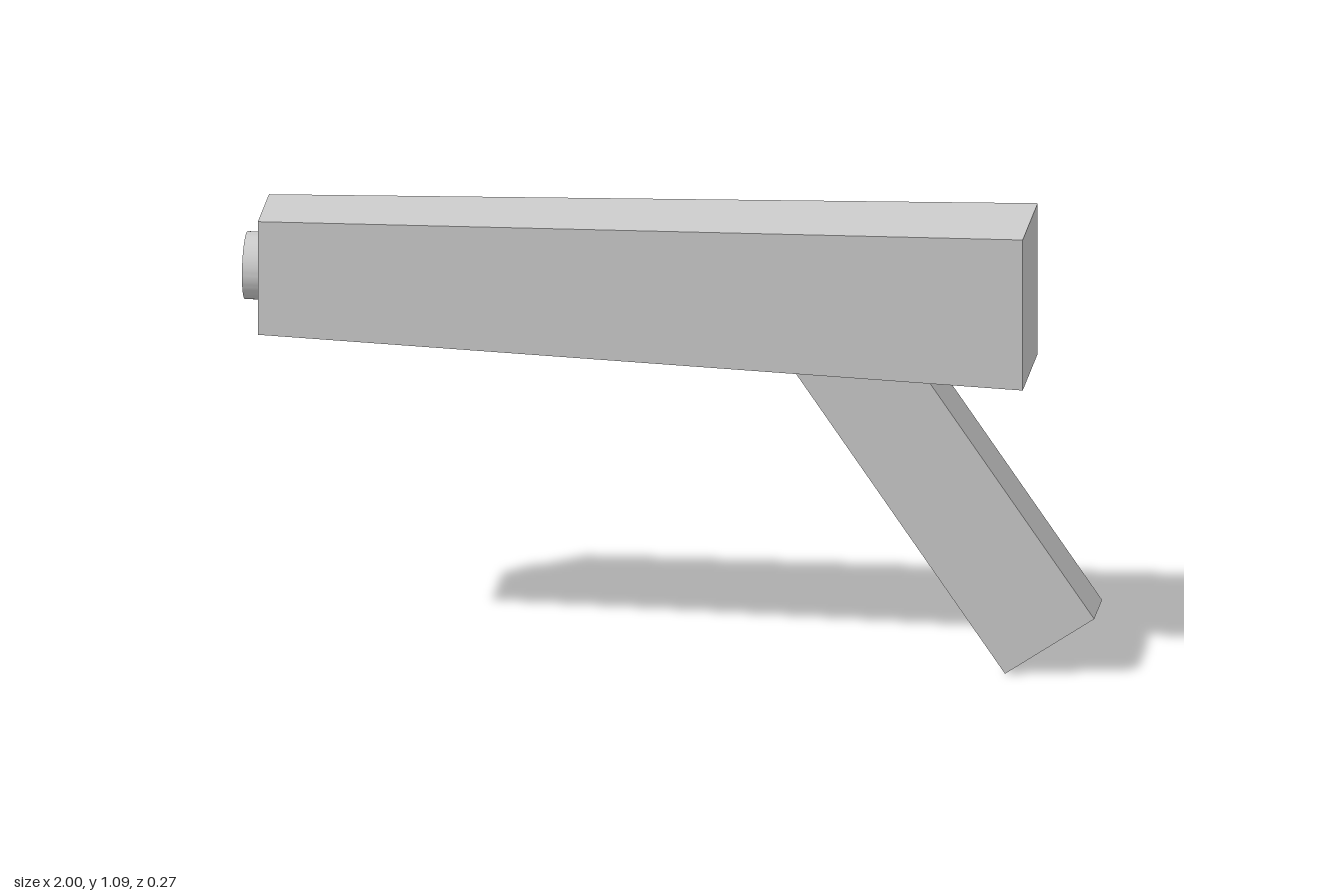
import * as THREE from 'three';
import { toCreasedNormals } from 'three/addons/utils/BufferGeometryUtils.js';

const material = new THREE.MeshStandardMaterial({ color: 0xcccccc });

function part(name, geometry) {
  const mesh = new THREE.Mesh(geometry, material);
  mesh.name = name;
  return mesh;
}

// Box along x whose height and depth grow from the narrow to the wide end
function taperedBody() {
  const geometry = new THREE.BoxGeometry(1.8, 1, 1);
  const p = geometry.attributes.position;
  for (let i = 0; i < p.count; i++) {
    const wide = p.getX(i) > 0;
    p.setXYZ(i,
      p.getX(i) - 0.06,
      0.905 + p.getY(i) * (wide ? 0.37 : 0.278),
      p.getZ(i) * (wide ? 0.268 : 0.2));
  }
  geometry.computeVertexNormals();
  return geometry;
}

// Slanted rectangular bar whose upper end is buried in the body
function slantedHandle() {
  const width = 0.254, length = 1.0, depth = 0.14;
  const geometry = new THREE.BoxGeometry(width, length, depth);
  geometry.translate(width / 2, length / 2, 0);
  geometry.rotateZ(0.601);
  geometry.translate(0.79, 0, 0);
  return geometry;
}

// Short open ring on the narrow end
function ring() {
  const shape = new THREE.Shape().absarc(0, 0, 0.079, 0, Math.PI * 2);
  shape.holes.push(new THREE.Path().absarc(0, 0, 0.055, 0, Math.PI * 2, true));
  const geometry = new THREE.ExtrudeGeometry(shape, { depth: 0.05, bevelEnabled: false, curveSegments: 32 });
  geometry.rotateY(Math.PI / 2);
  geometry.translate(-1, 0.902, 0);
  return toCreasedNormals(geometry, 0.6);
}

export function createModel() {
  const model = new THREE.Group();
  model.name = 'model';
  model.add(
    part('body', taperedBody()),
    part('handle', slantedHandle()),
    part('muzzleRing', ring()),
  );
  return model;
}
